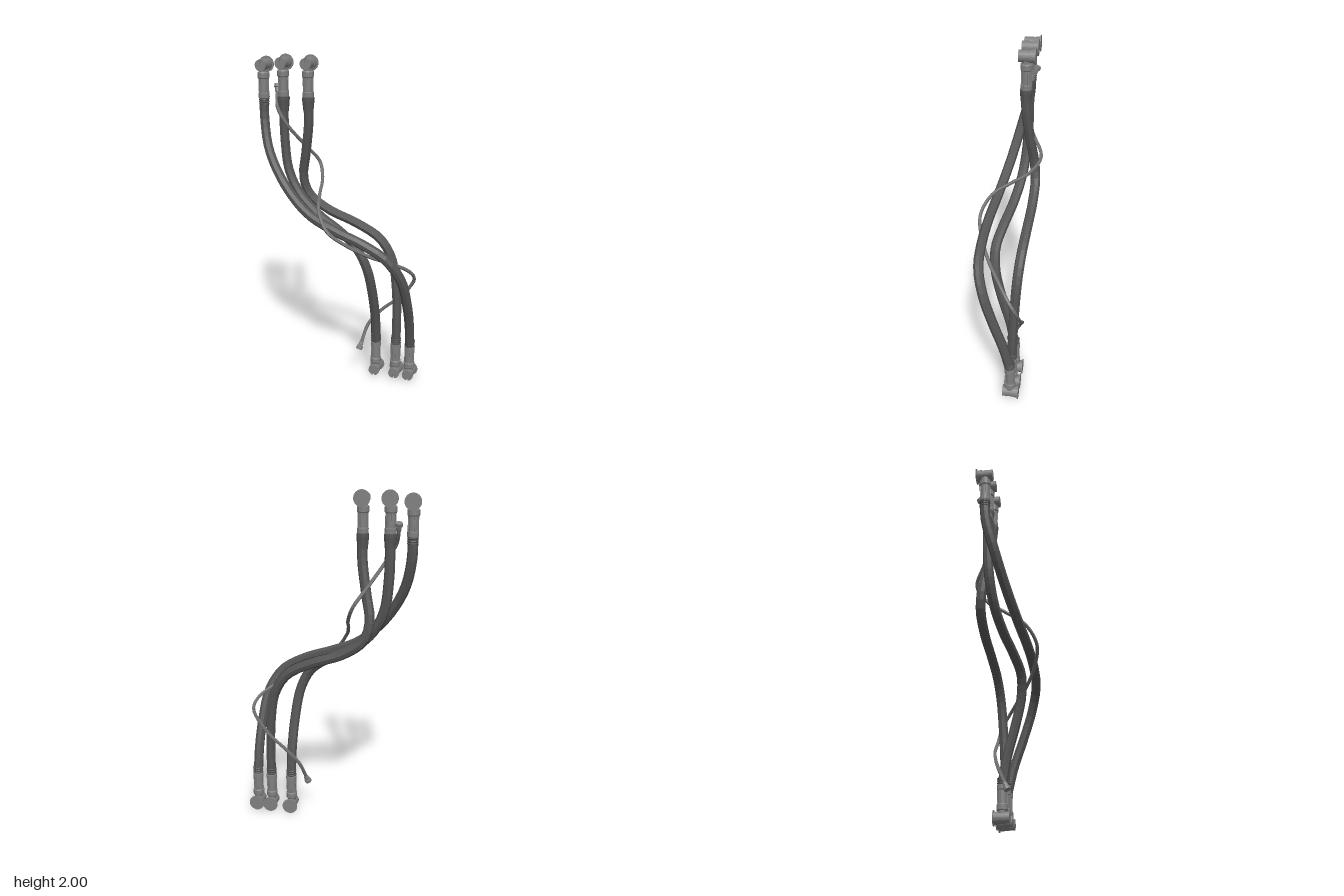
import * as THREE from 'three';

const hoseMat = new THREE.MeshStandardMaterial({ color: 0x555555, flatShading: true });
const cableMat = new THREE.MeshStandardMaterial({ color: 0x707070, flatShading: true });
const metalMat = new THREE.MeshStandardMaterial({ color: 0x808080, flatShading: true });
const AXIS_Z = -0.071;

function add(parent, name, geometry, material) {
  const mesh = new THREE.Mesh(geometry, material);
  mesh.name = name;
  parent.add(mesh);
  return mesh;
}

const lathe = (pts, sides) =>
  new THREE.LatheGeometry(pts.map(([r, y]) => new THREE.Vector2(r, y)), sides);

function tube(parent, name, pts, radius, segments, sides, material) {
  const curve = new THREE.CatmullRomCurve3(pts.map(p => new THREE.Vector3(...p)), false, 'centripetal');
  add(parent, name, new THREE.TubeGeometry(curve, segments, radius, sides), material);
  return curve;
}

// Cylinder lying along z between two depths
function zDisc(parent, name, radius, z0, z1) {
  const geometry = new THREE.CylinderGeometry(radius, radius, z1 - z0, 24);
  geometry.rotateX(Math.PI / 2).translate(0, 0, (z0 + z1) / 2);
  add(parent, name, geometry, metalMat);
}

// Round port face with a slot running from its middle to the outer rim
function slottedFace(radius, depth) {
  const half = 0.005, a = Math.asin(half / radius);
  const shape = new THREE.Shape();
  shape.moveTo(-half, 0);
  shape.absarc(0, 0, radius, Math.PI / 2 + a, Math.PI * 2.5 - a, false);
  shape.lineTo(half, 0);
  shape.closePath();
  return new THREE.ExtrudeGeometry(shape, { depth, bevelEnabled: false, curveSegments: 24 });
}

// Elbow fitting: port along z, with the hose leaving along +y
function makeFitting(name, cuff) {
  const g = new THREE.Group();
  g.name = name;
  zDisc(g, 'portBody', 0.034, -0.05, 0.021);
  zDisc(g, 'portCollar', 0.037, -0.05, -0.02);
  zDisc(g, 'backFlange', 0.047, -0.053, -0.048);
  const slot = add(g, 'slottedCap', slottedFace(0.034, 0.024), metalMat);
  slot.position.z = 0.021;
  slot.rotation.z = Math.PI;
  // Neck, swivel nut and ferrule
  add(g, 'neck', new THREE.CylinderGeometry(0.026, 0.026, 0.06, 12).translate(0, 0.04, 0), metalMat);
  add(g, 'swivelNut', lathe([[0, 0.04], [0.031, 0.04], [0.035, 0.046], [0.035, 0.074],
    [0.031, 0.08], [0, 0.08]], 12), metalMat);
  add(g, 'ferrule', lathe([[0.027, 0.08], [0.027, 0.16], [0.033, 0.163], [0.033, 0.19], [0.02, 0.195]], 16), metalMat);
  for (let i = 0; i < 8; i++) {
    const rib = add(g, 'ferruleRib', new THREE.BoxGeometry(0.006, 0.085, 0.006), metalMat);
    const a = (i + 0.5) * Math.PI / 4;
    rib.position.set(Math.sin(a) * 0.028, 0.12, Math.cos(a) * 0.028);
    rib.rotation.y = a;
  }
  if (cuff) {
    // Tapered sleeve over the hose end
    add(g, 'hoseCuff', lathe([[0.027, 0.19], [0.036, 0.193], [0.036, 0.21], [0.029, 0.28]], 10), hoseMat);
  } else {
    // Barbed rings
    for (let i = 0; i < 3; i++) {
      const ring = add(g, 'barbRing', new THREE.TorusGeometry(0.027, 0.005, 6, 14), hoseMat);
      ring.rotation.x = Math.PI / 2;
      ring.position.y = 0.2 + i * 0.014;
    }
  }
  return g;
}

// Small cylindrical plug pointing along a direction
function makePlug(name, position, direction) {
  const g = new THREE.Group();
  g.name = name;
  add(g, 'plugBody', lathe([[0, -0.015], [0.013, -0.012], [0.015, 0], [0.015, 0.016],
    [0.021, 0.018], [0.021, 0.038], [0, 0.038]], 10), metalMat);
  g.position.copy(position);
  g.quaternion.setFromUnitVectors(new THREE.Vector3(0, 1, 0), direction);
  return g;
}

export function createModel() {
  const model = new THREE.Group();
  model.name = 'hoseBundle';

  // Each hose: upper end, bends, lower end
  const hoses = [
    { name: 'frontHose', topY: 1.938, cuff: false, path: [
      [-0.468, 1.77, AXIS_Z], [-0.466, 1.62, -0.065], [-0.424, 1.44, -0.022], [-0.31, 1.25, 0.03],
      [-0.15, 1.1, 0.082], [0.03, 1.02, 0.117], [0.2, 0.96, 0.132], [0.34, 0.88, 0.13],
      [0.425, 0.75, 0.092], [0.456, 0.57, 0.03], [0.465, 0.4, -0.03], [0.465, 0.23, AXIS_Z]] },
    { name: 'middleHose', topY: 1.953, cuff: true, path: [
      [-0.344, 1.77, AXIS_Z], [-0.342, 1.5, -0.073], [-0.315, 1.31, -0.065], [-0.235, 1.17, -0.047],
      [-0.1, 1.06, -0.012], [0.05, 0.98, 0.03], [0.15, 0.9, 0.058], [0.21, 0.78, 0.052],
      [0.238, 0.6, 0.01], [0.247, 0.4, -0.045], [0.247, 0.23, AXIS_Z]] },
    { name: 'rearHose', topY: 1.953, cuff: true, path: [
      [-0.19, 1.77, AXIS_Z], [-0.19, 1.62, -0.075], [-0.22, 1.42, -0.1], [-0.245, 1.27, -0.123],
      [-0.213, 1.16, -0.133], [-0.09, 1.07, -0.13], [0.1, 1.0, -0.118], [0.25, 0.92, -0.105],
      [0.33, 0.8, -0.094], [0.366, 0.6, -0.083], [0.376, 0.4, -0.075], [0.376, 0.23, AXIS_Z]] },
  ];
  for (const h of hoses) {
    tube(model, h.name, h.path, 0.0295, 40, 8, hoseMat);
    const upper = makeFitting(h.name + 'UpperFitting', h.cuff);
    upper.position.set(h.path[0][0], h.topY, AXIS_Z);
    upper.scale.y = -1;
    model.add(upper);
    const lower = makeFitting(h.name + 'LowerFitting', false);
    lower.position.set(h.path.at(-1)[0], 0.047, AXIS_Z);
    model.add(lower);
  }

  // Thin cable winding around the bundle
  const cable = tube(model, 'thinCable', [
    [-0.393, 1.79, -0.1], [-0.39, 1.755, -0.085], [-0.375, 1.7, -0.047], [-0.32, 1.605, -0.042],
    [-0.23, 1.47, -0.112], [-0.155, 1.36, -0.17], [-0.118, 1.27, -0.11], [-0.1, 1.2, 0],
    [-0.07, 1.13, 0.11], [0, 1.03, 0.172], [0.11, 0.95, 0.152], [0.24, 0.87, 0.09],
    [0.36, 0.81, 0.015], [0.45, 0.745, -0.055], [0.472, 0.68, -0.1], [0.38, 0.54, -0.12],
    [0.27, 0.44, -0.12], [0.19, 0.34, -0.092], [0.157, 0.22, -0.04]], 0.0105, 90, 6, cableMat);
  model.add(makePlug('upperPlug', cable.getPoint(0), cable.getTangent(0).negate()));
  model.add(makePlug('lowerPlug', cable.getPoint(1), cable.getTangent(1)));
  return model;
}
